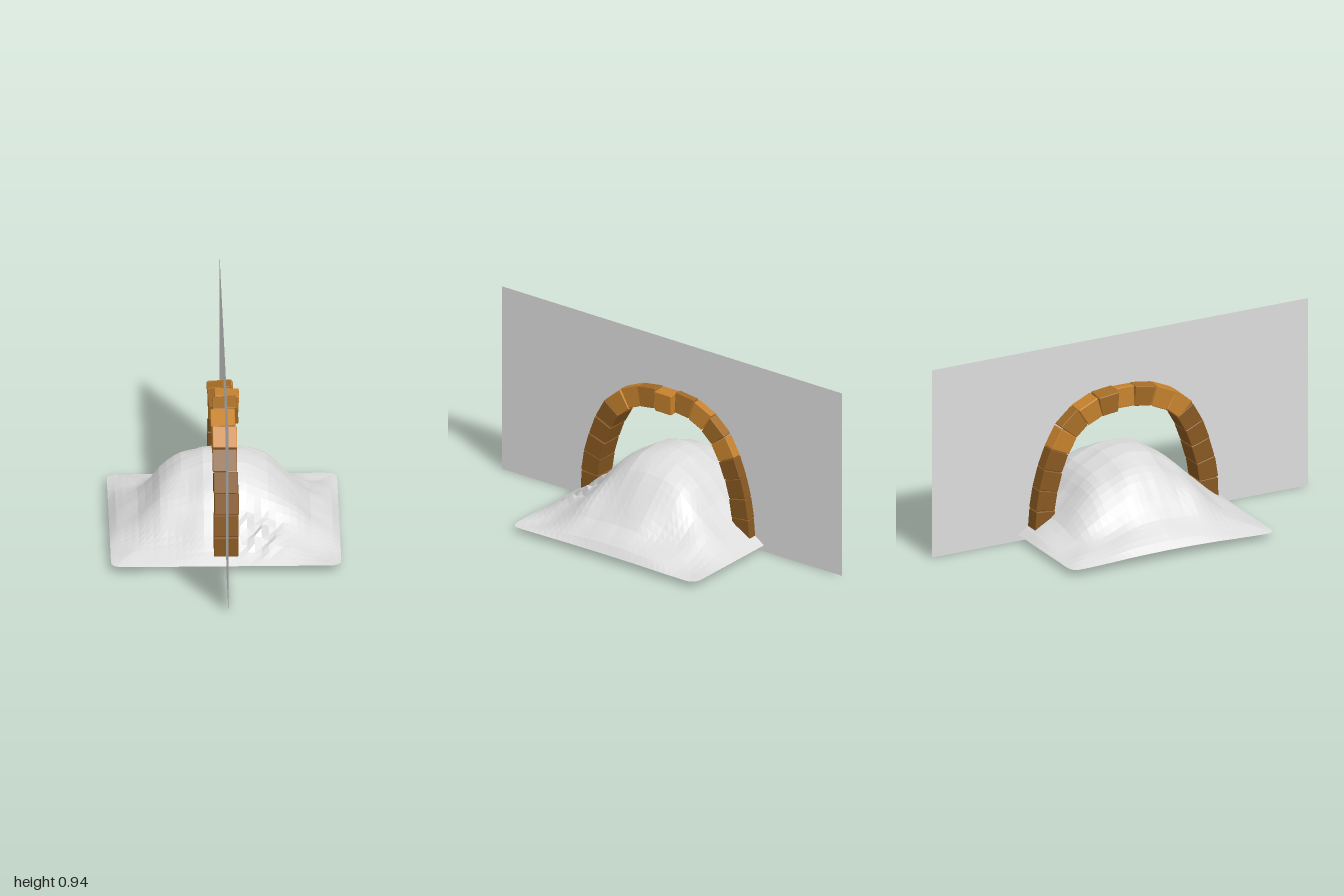
import * as THREE from 'three';
import { RoundedBoxGeometry } from 'three/addons/geometries/RoundedBoxGeometry.js';

const stone = new THREE.MeshStandardMaterial({ name: 'paleStone', color: 0xdcdcdc, flatShading: true, side: THREE.DoubleSide });
const wall = new THREE.MeshStandardMaterial({ name: 'wallGrey', color: 0xdddddd, side: THREE.DoubleSide });
const bricks = {
  L: new THREE.MeshStandardMaterial({ name: 'ochreBrick', color: 0xc6822d }),
  M: new THREE.MeshStandardMaterial({ name: 'tanBrick', color: 0xa56c26 }),
  D: new THREE.MeshStandardMaterial({ name: 'brownBrick', color: 0x885820 }),
};

// piecewise linear lookup through [position, height] pairs
function lookup(table, t) {
  for (let i = 1; i < table.length; i++) {
    const [a, ha] = table[i - 1], [b, hb] = table[i];
    if (t <= b) return ha + (hb - ha) * Math.max(0, (t - a) / (b - a));
  }
  return table[table.length - 1][1];
}

// height of the mound across its width and along its depth
const acrossX = [[-0.54, 0.045], [-0.5, 0.085], [-0.4, 0.15], [-0.35, 0.2], [-0.3, 0.27], [-0.25, 0.315], [-0.2, 0.347],
  [-0.1, 0.385], [0, 0.39], [0.1, 0.378], [0.2, 0.332], [0.25, 0.29], [0.3, 0.238], [0.4, 0.13], [0.5, 0.08], [0.54, 0.035]];
const alongZ = [[-0.54, 0.03], [-0.5, 0.06], [-0.4, 0.12], [-0.35, 0.17], [-0.3, 0.22], [-0.25, 0.28], [-0.2, 0.32],
  [-0.1, 0.373], [-0.04, 0.388], [0, 0.39], [0.04, 0.388], [0.1, 0.375], [0.2, 0.318], [0.25, 0.28], [0.3, 0.222],
  [0.35, 0.175], [0.4, 0.13], [0.47, 0.075], [0.54, 0.03]];

function moundHeight(x, z) {
  const f = (lookup(acrossX, x) - 0.03) / 0.36;
  const g = (lookup(alongZ, z) - 0.03) / 0.36;
  const edge = Math.max(0, 1 - Math.max(Math.abs(x), Math.abs(z)) / 0.54);
  const off = Math.min(1, Math.abs(x) * 5) * Math.min(1, Math.abs(z) * 5);
  const gullies = Math.sin(x * 17 + z * 6) * 0.014 + Math.sin(z * 21 - x * 9) * 0.01;
  // broken ground beside the front foot
  const rough = Math.exp(-((x - 0.16) ** 2 + (z - 0.4) ** 2) / 0.008) * Math.sin(x * 70 + z * 40) * 0.025;
  return 0.03 + 0.36 * f * g + (gullies * off + rough) * Math.min(1, edge * 3);
}

function makeMound() {
  const geo = new THREE.PlaneGeometry(1.08, 1.08, 32, 32).rotateX(-Math.PI / 2);
  const p = geo.attributes.position;
  const inner = 0.49, r = 0.05;
  for (let i = 0; i < p.count; i++) {
    let x = p.getX(i), z = p.getZ(i);
    const y = moundHeight(x, z);
    // round the four corners
    const dx = Math.abs(x) - inner, dz = Math.abs(z) - inner;
    if (dx > 0 && dz > 0) {
      const k = Math.min(1, r / Math.hypot(dx, dz));
      x = Math.sign(x) * (inner + dx * k);
      z = Math.sign(z) * (inner + dz * k);
    }
    p.setXYZ(i, x, y, z);
  }
  geo.computeVertexNormals();
  const mesh = new THREE.Mesh(geo, stone);
  mesh.name = 'mound';
  return mesh;
}

// centre line of the arch from front foot to back foot, as [z, y]
const archLine = [[0.445, 0.055], [0.435, 0.2], [0.405, 0.32], [0.36, 0.44], [0.3, 0.535], [0.21, 0.6], [0.11, 0.632],
  [0, 0.637], [-0.11, 0.632], [-0.2, 0.602], [-0.29, 0.535], [-0.355, 0.43], [-0.4, 0.31], [-0.425, 0.2], [-0.44, 0.055]];
const curve = new THREE.CatmullRomCurve3(archLine.map(([z, y]) => new THREE.Vector3(0, y, z)));

function makeArch() {
  const arch = new THREE.Group();
  arch.name = 'arch';
  const count = 17, pitch = curve.getLength() / count;
  // sideways shift, roll and shade of each block
  const shift = [0, 0, 0.003, 0, -0.003, -0.004, -0.008, 0.004, 0.01, -0.018, -0.015, -0.012, -0.01, -0.01, -0.014, -0.012, -0.015];
  const roll = [0, 0, 0.01, 0.01, -0.02, 0.03, -0.05, -0.08, 0.05, -0.1, -0.06, 0.05, -0.03, 0.02, 0.02, 0, 0];
  const shade = 'DDDDDLLMLMLMLDDDD';
  for (let i = 0; i < count; i++) {
    const t = (i + 0.5) / count;
    const tangent = curve.getTangentAt(t);
    const bend = curve.getTangentAt(i / count).angleTo(curve.getTangentAt((i + 1) / count)) / pitch;
    // wedge each block so its outer end is longer than its inner end
    const geo = new RoundedBoxGeometry(0.115, 0.1, pitch * 0.98, 1, 0.004);
    const p = geo.attributes.position;
    for (let v = 0; v < p.count; v++) p.setZ(v, p.getZ(v) * (1 - p.getY(v) * bend));
    const block = new THREE.Mesh(geo, bricks[shade[i]]);
    block.name = 'archBlock' + (i + 1);
    block.position.copy(curve.getPointAt(t)).setX(shift[i]);
    block.rotation.set(-Math.atan2(tangent.y, tangent.z), 0, roll[i]);
    arch.add(block);
  }
  return arch;
}

// thin upright wall with an arched doorway
function makeWall() {
  const s = new THREE.Shape();
  s.moveTo(-1, 0);
  s.lineTo(-0.46, 0);
  for (const p of curve.getPoints(48)) s.lineTo(-p.z, p.y);
  s.lineTo(0.46, 0);
  s.lineTo(1, 0);
  s.lineTo(1, 0.94);
  s.lineTo(-1, 0.94);
  s.closePath();
  const mesh = new THREE.Mesh(new THREE.ShapeGeometry(s).rotateY(Math.PI / 2), wall);
  mesh.name = 'wall';
  return mesh;
}

export function createModel() {
  const model = new THREE.Group();
  model.name = 'archOverMound';
  model.add(makeMound(), makeArch(), makeWall());
  return model;
}
